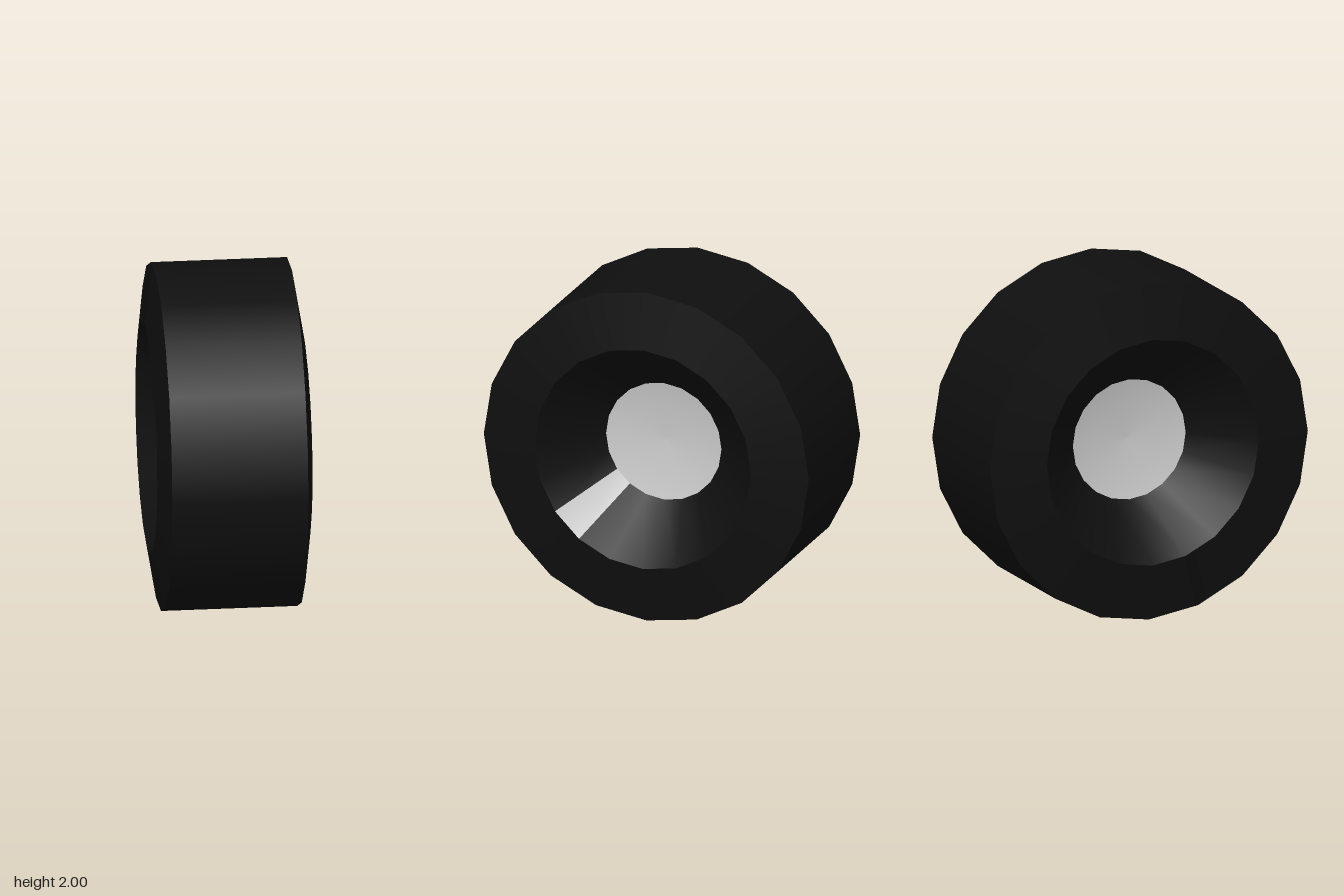
import * as THREE from 'three';

const SIDES = 20;
const STEP = (Math.PI * 2) / SIDES;

export function createModel() {
  const wheel = new THREE.Group();
  wheel.name = 'wheel';
  const rubber = new THREE.MeshStandardMaterial({ color: 0x0f0f0f });
  const metal = new THREE.MeshStandardMaterial({ color: 0xcccccc });

  // Lathe part around the axle; profile pairs are [radius, position along axle]
  const spin = new THREE.Group();
  spin.name = 'wheelBody';
  function ring(name, profile, material, first = 0, count = SIDES) {
    const points = profile.map(([r, a]) => new THREE.Vector2(r, a));
    const geometry = new THREE.LatheGeometry(points, count, first * STEP, count * STEP);
    const mesh = new THREE.Mesh(geometry, material);
    mesh.name = name;
    spin.add(mesh);
  }
  // Same profile on the other side, reversed so it still faces outward
  const mirror = (profile) => profile.map(([r, a]) => [r, -a]).reverse();

  const shoulder = [[1, 0.39], [0.667, 0.445]];
  const sidewall = [[0.667, 0.445], [0.355, 0.125]];
  const dish = [[0.355, 0.125], [0.2, 0.095], [0, 0.085]];

  // Tyre
  ring('tread', [[1, -0.39], [1, 0.39]], rubber);
  ring('leftShoulder', shoulder, rubber);
  ring('rightShoulder', mirror(shoulder), rubber);
  ring('rightSidewall', mirror(sidewall), rubber);

  // Left sidewall with one pale panel
  ring('leftSidewall', sidewall, rubber, 3, SIDES - 1);
  ring('sidewallPanel', sidewall, metal, 2, 1);

  // Shallow hub dishes
  ring('leftHub', dish, metal);
  ring('rightHub', mirror(dish), metal);

  // Axle along x, resting on the ground
  spin.rotation.z = -Math.PI / 2;
  spin.position.y = 1;
  wheel.add(spin);
  return wheel;
}
